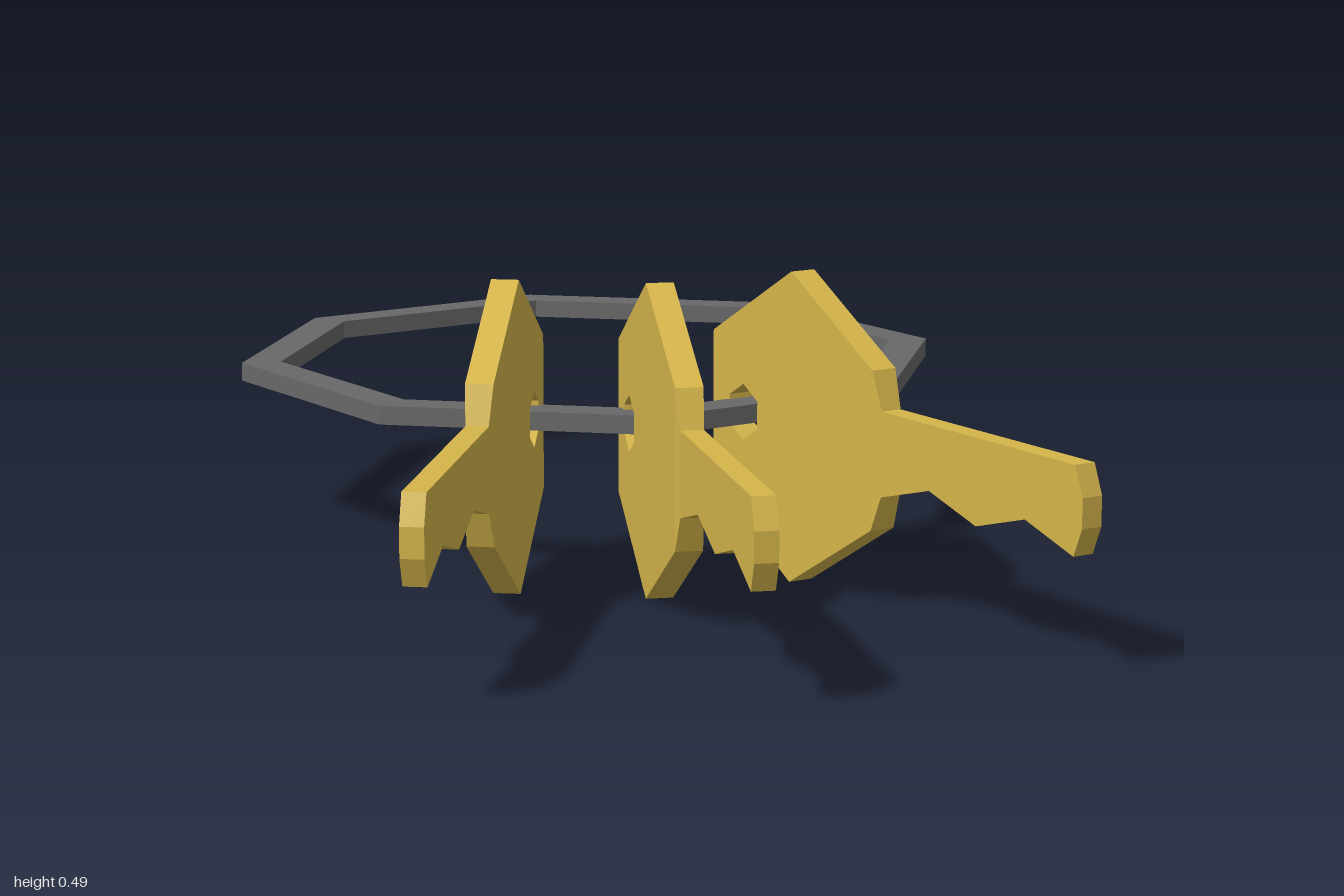
import * as THREE from 'three';

// Points on a regular polygon
function polygon(cx, cy, r, sides, start = 0) {
  return Array.from({ length: sides }, (_, i) => {
    const a = start + (i / sides) * Math.PI * 2;
    return new THREE.Vector2(cx + r * Math.cos(a), cy + r * Math.sin(a));
  });
}

// Side profile (distance along key, height) extruded to a plate centred on x = 0
function plate(points, thickness, hole) {
  const shape = new THREE.Shape(points.map(([s, y]) => new THREE.Vector2(s, y)));
  if (hole) shape.holes.push(new THREE.Path(hole));
  const geo = new THREE.ExtrudeGeometry(shape, { depth: thickness, bevelEnabled: false });
  geo.translate(0, 0, -thickness / 2);
  geo.rotateY(-Math.PI / 2);
  return geo;
}

export function createModel() {
  const model = new THREE.Group();
  model.name = 'keyRing';
  const brass = new THREE.MeshStandardMaterial({ color: 0xd4b44a });
  brass.name = 'brass';
  const steel = new THREE.MeshStandardMaterial({ color: 0x686868 });
  steel.name = 'steel';

  // Octagonal ring lying flat
  const ringShape = new THREE.Shape(polygon(0, 0, 0.59, 8));
  ringShape.holes.push(new THREE.Path(polygon(0, 0, 0.525, 8)));
  const ringGeo = new THREE.ExtrudeGeometry(ringShape, { depth: 0.03, bevelEnabled: false });
  ringGeo.rotateX(-Math.PI / 2);
  const ring = new THREE.Mesh(ringGeo, steel);
  ring.name = 'ring';
  ring.position.set(0, 0.234, -0.41);
  model.add(ring);

  // Key parts, shared by all three keys
  const headT = 0.043, bladeT = 0.035;
  const headGeo = plate(
    [[0, 0.123], [0.215, 0], [0.43, 0.123], [0.43, 0.37], [0.215, 0.492], [0, 0.37]],
    headT, polygon(0.085, 0.25, 0.045, 6, Math.PI / 6));

  // Neck tapers from head thickness to blade thickness
  const neckGeo = plate([[0.43, 0.123], [0.45, 0.178], [0.45, 0.31], [0.43, 0.37]], headT);
  const pos = neckGeo.attributes.position;
  for (let i = 0; i < pos.count; i++) {
    if (pos.getZ(i) > 0.44) pos.setX(i, pos.getX(i) * bladeT / headT);
  }
  neckGeo.computeVertexNormals();

  // Blade with a toothed lower edge and a chamfered tip
  const bladeGeo = plate(
    [[0.45, 0.178], [0.57, 0.21], [0.685, 0.178], [0.8, 0.21], [0.912, 0.177],
      [0.93, 0.22], [0.93, 0.265], [0.912, 0.31], [0.45, 0.31]], bladeT);

  const keys = [
    ['rightKey', -0.175, 0.006, -19.9],
    ['middleKey', -0.023, 0.07, 0],
    ['leftKey', 0.14, 0.012, 21.2],
  ];
  for (const [name, x, z, degrees] of keys) {
    const key = new THREE.Group();
    key.name = name;
    for (const [part, geo] of [['head', headGeo], ['neck', neckGeo], ['blade', bladeGeo]]) {
      const mesh = new THREE.Mesh(geo, brass);
      mesh.name = part;
      key.add(mesh);
    }
    key.position.set(x, 0, z);
    key.rotation.y = THREE.MathUtils.degToRad(degrees);
    model.add(key);
  }
  return model;
}
